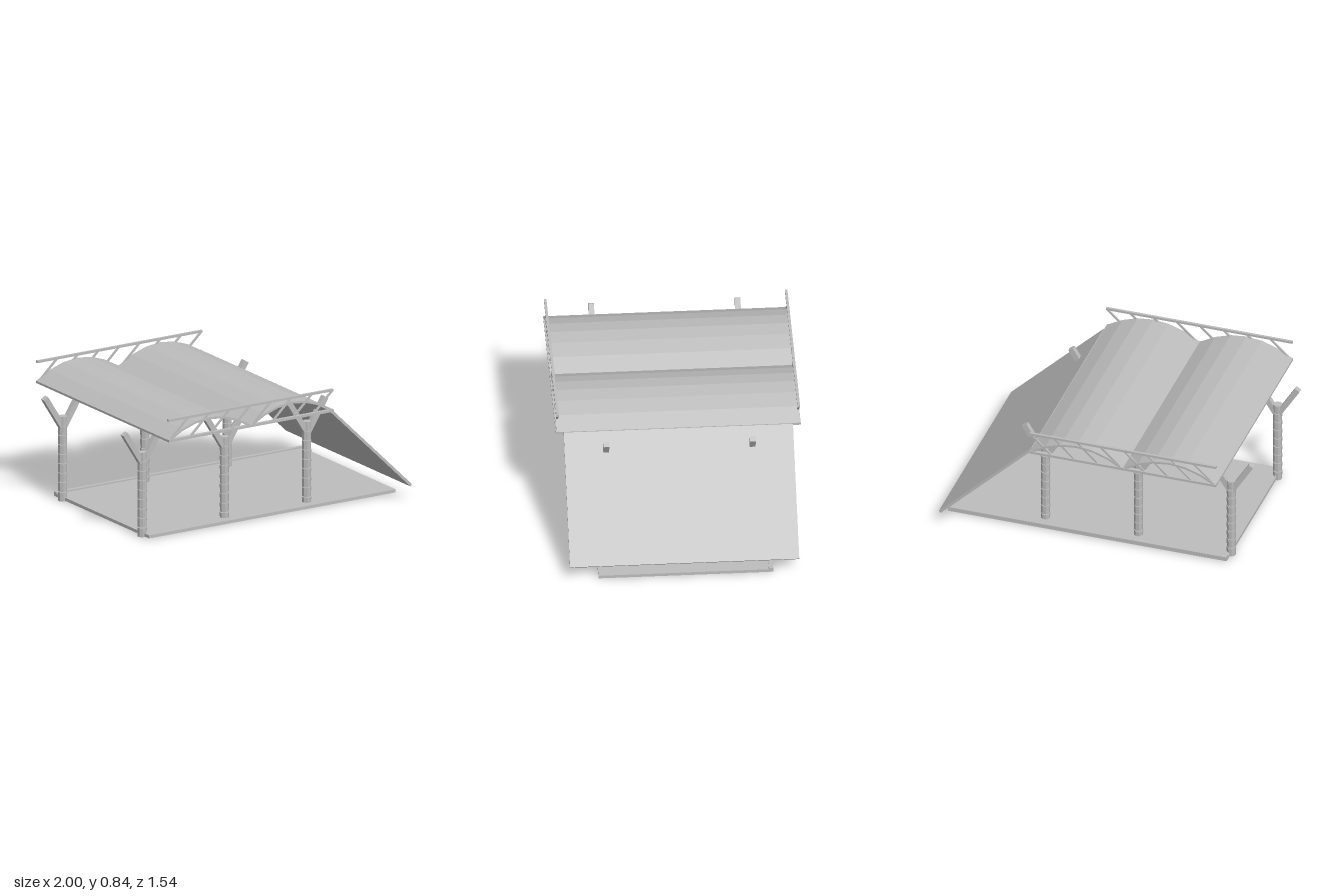
import * as THREE from 'three';

export function createModel() {
  const root = new THREE.Group();
  root.name = 'pavilion';
  const grey = new THREE.MeshStandardMaterial({ color: 0xbcbcbc, flatShading: true });
  grey.name = 'plain grey';

  const add = (name, geometry, x = 0, y = 0, z = 0, parent = root) => {
    const mesh = new THREE.Mesh(geometry, grey);
    mesh.name = name;
    mesh.position.set(x, y, z);
    parent.add(mesh);
    return mesh;
  };
  // Box running between two points of the x-y plane
  const bar = (name, x0, y0, x1, y1, thick, depth, z = 0, parent = root) => {
    const length = Math.hypot(x1 - x0, y1 - y0);
    const mesh = add(name, new THREE.BoxGeometry(length, thick, depth),
      (x0 + x1) / 2, (y0 + y1) / 2, z, parent);
    mesh.rotation.z = Math.atan2(y1 - y0, x1 - x0);
    return mesh;
  };

  // Floor slab with a raised strip on the back edge
  add('floor', new THREE.BoxGeometry(1.84, 0.02, 1.08), 0.07, 0.015, 0);
  add('floorBackStrip', new THREE.BoxGeometry(1.84, 0.028, 0.028), 0.07, 0.02, -0.543);

  // Jointed posts with forked tops
  const joints = 9;
  const step = 0.555 / joints;
  const joint = new THREE.CylinderGeometry(0.03, 0.028, step - 0.003, 8);
  joint.rotateY(Math.PI / 8);
  for (const x of [-0.85, -0.237, 0.377]) {
    for (const z of [-0.46, 0.46]) {
      const post = new THREE.Group();
      post.name = 'post';
      post.position.set(x, 0, z);
      root.add(post);
      for (let i = 0; i < joints; i++) {
        add('postJoint', joint, 0, (i + 0.5) * step - (i ? 0 : 0.0015), 0, post);
      }
      for (const s of [-1, 1]) {
        bar('branch', 0, 0.475, s * 0.135, 0.692, 0.036, 0.036, 0, post);
      }
    }
  }

  // Double-arched roof of twelve flat strips
  const left = -0.85, span = 1.23, strips = 12, thick = 0.014;
  const points = [];
  for (let i = 0; i <= strips; i++) {
    const u = ((i % 6) - 3) / 3;
    points.push(new THREE.Vector2(left + (span * i) / strips, 0.705 + 0.102 * (1 - u * u)));
  }
  const under = points.map((p) => new THREE.Vector2(p.x, p.y - thick)).reverse();
  const roof = new THREE.ExtrudeGeometry(new THREE.Shape([...points, ...under]),
    { depth: 1.53, bevelEnabled: false });
  add('archedRoof', roof, 0, 0, -0.765);

  // Lattice truss on each end of the roof
  const mid = left + span / 2, panels = 8;
  for (const z of [-0.757, 0.757]) {
    add('lowerBeam', new THREE.BoxGeometry(span, 0.016, 0.024), mid, 0.699, z);
    add('upperRail', new THREE.BoxGeometry(span, 0.015, 0.016), mid, 0.832, z);
    for (let i = 0; i < panels; i++) {
      const x = left + (span * i) / panels;
      bar('latticeStick', x + 0.012, 0.7, x + span / panels - 0.005, 0.828, 0.012, 0.01, z);
    }
  }

  // Sloping side panel
  bar('slopingPanel', 0.378, 0.697, 0.99, 0.097, 0.018, 1.44);

  return root;
}
